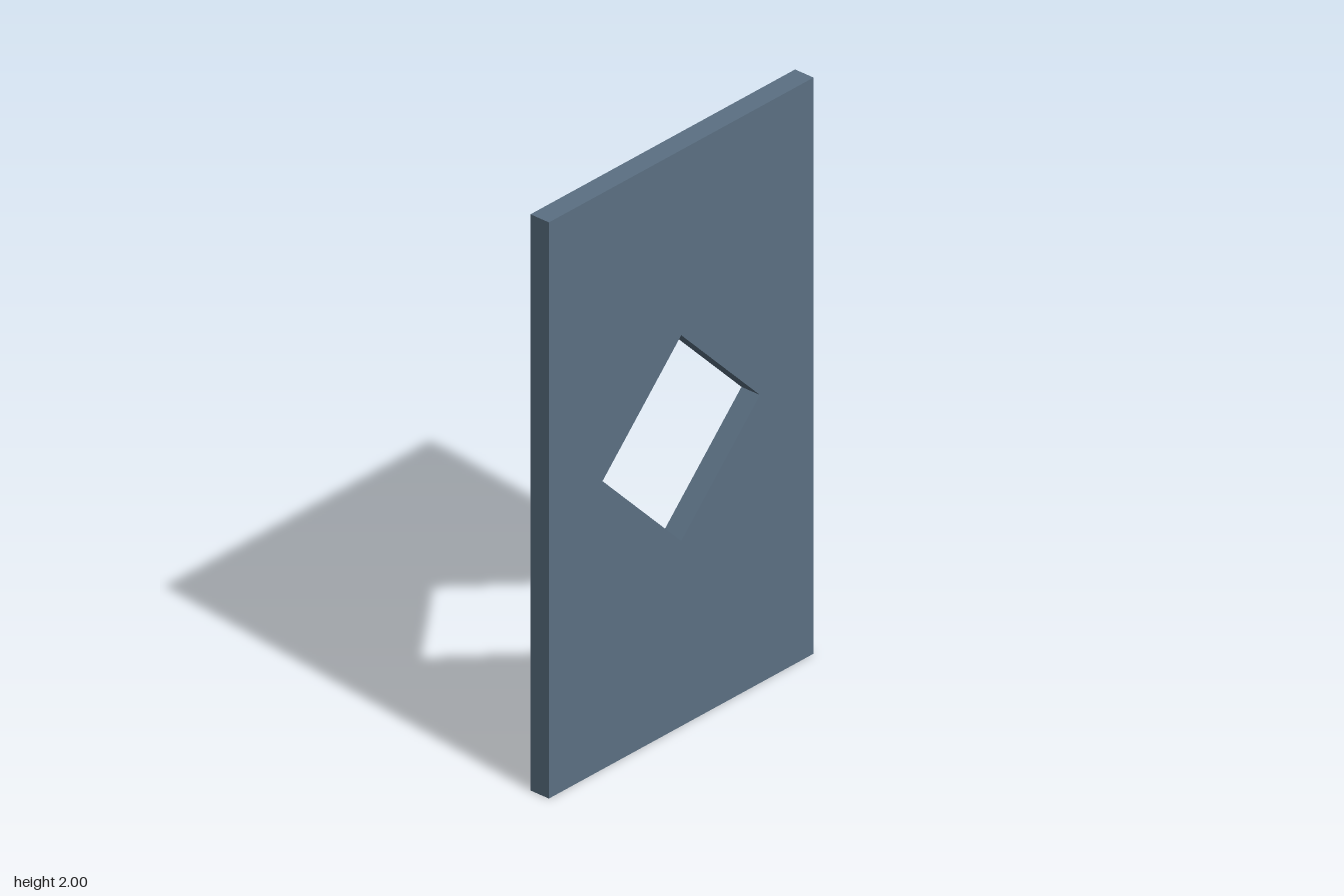
import * as THREE from 'three';

const HEIGHT = 2, WIDTH = 1.2, THICKNESS = 0.075, HOLE_RADIUS = 0.357;

export function createModel() {
  const group = new THREE.Group();
  group.name = 'piercedPanel';

  // Upright rectangle outline, centred on the origin
  const w = WIDTH / 2, h = HEIGHT / 2, r = HOLE_RADIUS;
  const outline = new THREE.Shape([
    new THREE.Vector2(-w, -h), new THREE.Vector2(w, -h),
    new THREE.Vector2(w, h), new THREE.Vector2(-w, h),
  ]);

  // Diamond opening through the middle
  outline.holes.push(new THREE.Path([
    new THREE.Vector2(0, r), new THREE.Vector2(r, 0),
    new THREE.Vector2(0, -r), new THREE.Vector2(-r, 0),
  ]));

  // Extrude to thickness and turn the broad faces toward the sides
  const geometry = new THREE.ExtrudeGeometry(outline, { depth: THICKNESS, bevelEnabled: false });
  geometry.translate(0, 0, -THICKNESS / 2);
  geometry.rotateY(Math.PI / 2);
  geometry.translate(0, h, 0);

  const panel = new THREE.Mesh(geometry, new THREE.MeshStandardMaterial({ color: 0x5b7083 }));
  panel.name = 'panel';
  group.add(panel);
  return group;
}
